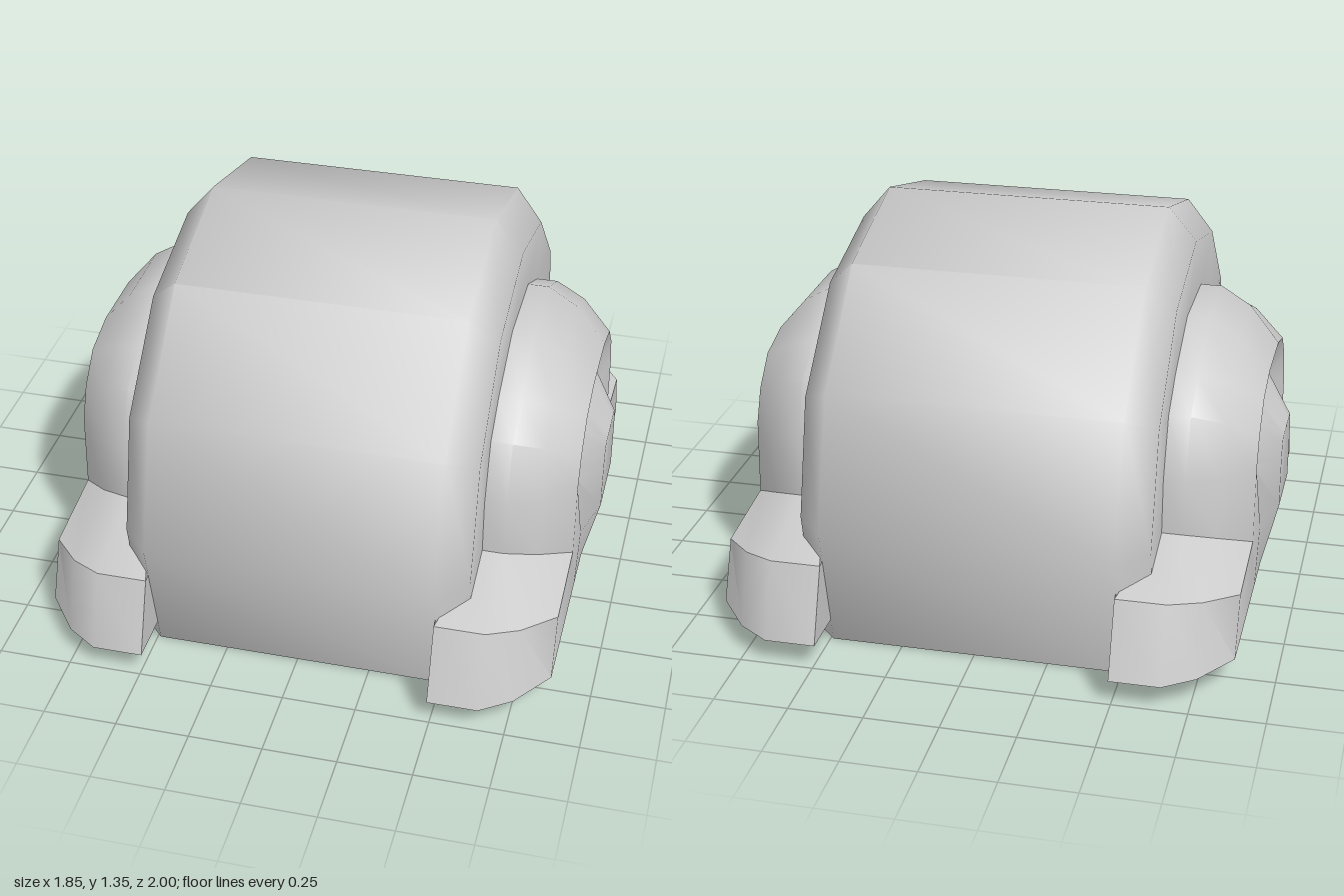
import * as THREE from 'three';
import { toCreasedNormals } from 'three/addons/utils/BufferGeometryUtils.js';

const material = new THREE.MeshStandardMaterial({ color: 0xcccccc, side: THREE.DoubleSide });

// Half outline [z, y, x?] from the +z foot up to the crown, mirrored to a full ring at x
function ring(x, half) {
  const points = half.map(([z, y, px = x]) => new THREE.Vector3(px, y, z));
  const mirrored = points.map((p) => new THREE.Vector3(p.x, p.y, -p.z)).reverse();
  return [...points, ...mirrored];
}

// Skin consecutive rings, skipping collapsed triangles
function loft(rings, closed, crease) {
  const positions = [];
  const tri = new THREE.Triangle();
  const add = (a, b, c) => {
    if (tri.set(a, b, c).getArea() > 1e-6) for (const p of [a, b, c]) positions.push(p.x, p.y, p.z);
  };
  for (let i = 0; i < rings.length - 1; i++) {
    const n = rings[i].length;
    for (let j = 0; j < (closed ? n : n - 1); j++) {
      const k = (j + 1) % n;
      const [a, b, c, d] = [rings[i][j], rings[i + 1][j], rings[i + 1][k], rings[i][k]];
      add(a, b, d);
      add(b, c, d);
    }
  }
  const geometry = new THREE.BufferGeometry();
  geometry.setAttribute('position', new THREE.Float32BufferAttribute(positions, 3));
  return toCreasedNormals(geometry, crease);
}

function mesh(name, geometry, parent) {
  const m = new THREE.Mesh(geometry, material);
  m.name = name;
  parent.add(m);
  return m;
}

export function createModel() {
  const model = new THREE.Group();
  model.name = 'housing';

  // Hollow twelve-sided hood with bevelled rims and arched openings in its end walls
  const barrel = [[0.8, 0], [0.91, 0.45], [0.785, 0.895], [0.455, 1.225], [0, 1.345]];
  const rim = [[0.7, 0], [0.8, 0.45], [0.7, 0.84], [0.4, 1.13], [0, 1.23]];
  const opening = [[0.58, 0], [0.58, 0.45], [0.5, 0.8], [0.38, 0.89], [0.15, 1.0]];
  mesh('hood', loft([
    ring(-0.587, opening), ring(-0.587, rim), ring(-0.49, barrel),
    ring(0.49, barrel), ring(0.587, rim), ring(0.587, opening),
  ], false, 0.95), model);

  // Side pod: outer arch with feet, rounded shoulder, recess and domed centre
  const outer = [[1, 0.085], [0.91, 0.335], [0.59, 0.42], [0.585, 0.61], [0.51, 0.81], [0.385, 0.905], [0.155, 1.018]];
  const face = [[0.8, 0.1], [0.72, 0.295], [0.415, 0.33], [0.405, 0.59], [0.36, 0.7], [0.27, 0.795], [0.125, 0.835]];
  const shoulder = outer.map(([z, y], i) => [
    THREE.MathUtils.lerp(z, face[i][0], 0.33),
    THREE.MathUtils.lerp(y, face[i][1], 0.33),
  ]);
  const inner = outer.map(([z, y], i) => [z, y, i < 2 ? 0.49 : 0.58]);
  const mouth = [[0.415, 0.1], [0.415, 0.33], ...face.slice(2)];
  const recess = [
    [0.3, 0.1, 0.87], [0.3, 0.33, 0.88], [0.3, 0.33, 0.88], [0.295, 0.56, 0.84],
    [0.265, 0.64, 0.825], [0.21, 0.705, 0.82], [0.11, 0.73, 0.82],
  ];
  const dome = [
    [0.13, 0.1, 0.87], [0.13, 0.33], [0.13, 0.33], [0.13, 0.5],
    [0.12, 0.56], [0.1, 0.58], [0.05, 0.58],
  ];
  const centre = dome.map(([, y, x]) => [0, y, x]);
  const podGeometry = loft([
    ring(0.49, inner), ring(0.66, outer), ring(0.765, shoulder), ring(0.87, face),
    ring(0.87, mouth), ring(0.82, recess), ring(0.925, dome), ring(0.925, centre),
  ], true, 0.7);

  // Inner end faces of the feet, outside the hood
  const capShape = new THREE.Shape(
    [[1, 0.085], [0.91, 0.335], [0.8, 0.36], [0.78, 0.085]].map(([z, y]) => new THREE.Vector2(-z, y)),
  );
  const capGeometry = new THREE.ShapeGeometry(capShape).rotateY(Math.PI / 2).translate(0.49, 0, 0);
  const sillGeometry = new THREE.BoxGeometry(0.01, 0.09, 1.18).translate(0.582, 0.045, 0);

  for (const side of ['left', 'right']) {
    const group = new THREE.Group();
    group.name = side + 'SidePod';
    mesh('podShell', podGeometry, group);
    mesh('frontFootEnd', capGeometry, group);
    mesh('backFootEnd', capGeometry, group).scale.z = -1;
    mesh('sill', sillGeometry, group);
    if (side === 'right') group.rotation.y = Math.PI;
    model.add(group);
  }
  return model;
}
